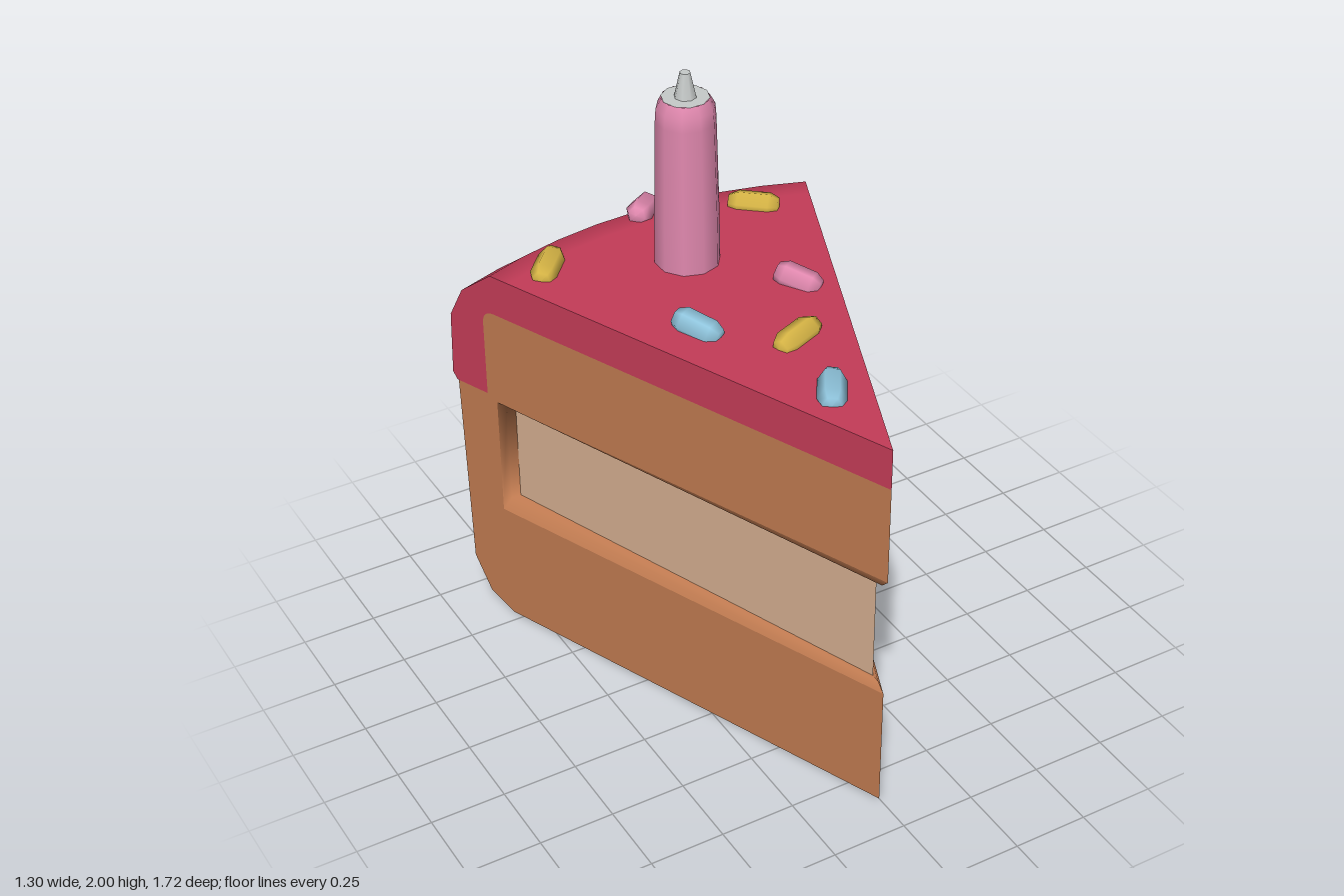
import * as THREE from 'three';

const HALF = 0.388;   // half angle of the slice
const TIP = 0.86;     // z of the slice's point
const TOP = 1.34;     // height of the icing

const mat = (name, color) => {
  const m = new THREE.MeshStandardMaterial({ color, side: THREE.DoubleSide });
  m.name = name;
  return m;
};

// Point at radius r from the tip, turned by angle a
const polar = (r, y, a) => [r * Math.sin(a), y, TIP - r * Math.cos(a)];

// Smooth surface through rows of points
function loft(rows) {
  const n = rows[0].length, index = [];
  for (let i = 0; i < rows.length - 1; i++)
    for (let j = 0; j < n - 1; j++) {
      const a = i * n + j, b = a + 1, c = a + n, d = c + 1;
      index.push(a, c, b, b, c, d);
    }
  const g = new THREE.BufferGeometry();
  g.setAttribute('position', new THREE.Float32BufferAttribute(rows.flat(2), 3));
  g.setIndex(index);
  g.computeVertexNormals();
  return g;
}

// Profile of [radius, y] swept over the slice's angle
const sweep = (segments, profileAt) => {
  const angles = Array.from({ length: segments + 1 }, (_, j) => HALF * (2 * j / segments - 1));
  const profiles = angles.map(profileAt);
  return loft(profiles[0].map((_, i) => angles.map((a, j) => polar(...profiles[j][i], a))));
};

function mirrorX(geo) {
  const g = geo.clone().scale(-1, 1, 1), ix = g.index.array;
  for (let i = 0; i < ix.length; i += 3) [ix[i], ix[i + 1]] = [ix[i + 1], ix[i]];
  return g;
}

// Flat shape (distance from tip, y) stood on the cut side
const onCut = (shape) => new THREE.ShapeGeometry(shape, 6)
  .rotateY(Math.PI / 2 - HALF).translate(0, 0, TIP);

export function createModel() {
  const model = new THREE.Group();
  model.name = 'cakeSlice';
  const sponge = mat('sponge', 0xbf7a50), icing = mat('icing', 0xc43c58);
  const cream = mat('cream', 0xd4ae90), pink = mat('pink', 0xe088ae);
  const grey = mat('wick grey', 0xc6cac9), yellow = mat('yellow', 0xd8b646);
  const blue = mat('blue', 0x8fc4dc);

  const add = (name, geo, material, parent = model) => {
    const m = new THREE.Mesh(geo, material);
    m.name = name;
    parent.add(m);
    return m;
  };
  const addPair = (name, geo, material) => {
    add(name + 'Left', geo, material);
    add(name + 'Right', mirrorX(geo), material);
  };

  // Sponge bottom and outer wall
  const wall = [[1.51, 0], [1.61, 0.05], [1.675, 0.17], [1.695, 0.88]];
  add('spongeBack', sweep(2, () => [[0, 0], [1.4, 0], ...wall, [1.695, 1.1]]), sponge);

  // Sponge cut sides, with a slot open at the tip
  const cut = new THREE.Shape();
  cut.moveTo(0, 0);
  wall.forEach(([r, y]) => cut.lineTo(r, y));
  cut.lineTo(1.57, 0.88);
  cut.lineTo(1.57, 1.15);
  cut.quadraticCurveTo(1.57, 1.2, 1.52, 1.2);
  [[0, 1.2], [0, 0.86], [1.53, 0.86], [1.53, 0.43], [0, 0.43]].forEach(([r, y]) => cut.lineTo(r, y));
  addPair('spongeSide', onCut(cut), sponge);

  // Bevelled slot rim running inwards behind the cream
  const [bx, , bz] = polar(1.53, 0, HALF);
  addPair('slotRim', loft([
    [[0, 0.86, TIP], [bx, 0.86, bz], [bx, 0.43, bz], [0, 0.43, TIP]],
    [[0, 0.83, 0.83], [0.55, 0.837, -0.55], [0.55, 0.47, -0.55], [0, 0.458, 0.83]],
    [[0, 0.825, 0.78], [0.5, 0.835, -0.54], [0.5, 0.478, -0.54], [0, 0.46, 0.78]],
  ]), sponge);

  // Cream filling
  const wedge = new THREE.Shape([[0, -0.8], [0.522, 0.548], [-0.522, 0.548]].map(p => new THREE.Vector2(...p)));
  add('creamFilling', new THREE.ExtrudeGeometry(wedge, { depth: 0.41, bevelEnabled: false })
    .rotateX(-Math.PI / 2).translate(0, 0.44, 0), cream);

  // Icing top and back, dripping lowest in the middle
  const shoulder = [[1.71, 1.13], [1.655, 1.24], [1.53, TOP]];
  add('icingTop', sweep(8, a => {
    const y = 0.88 - 0.16 * Math.cos(a / HALF * Math.PI / 2) ** 1.5;
    return [[1.65, y + 0.02], [1.7, y], [1.718, y + 0.025], ...shoulder, [1.45, TOP], [0, TOP]];
  }), icing);

  // Icing band on the cut sides
  const band = new THREE.Shape();
  band.moveTo(0, 1.2);
  band.lineTo(1.52, 1.2);
  band.quadraticCurveTo(1.57, 1.2, 1.57, 1.15);
  [[1.57, 0.88], [1.7, 0.88], [1.718, 0.905], ...shoulder, [0, TOP]].forEach(([r, y]) => band.lineTo(r, y));
  addPair('icingSide', onCut(band), icing);

  // Candle
  const lathe = (pts, sides) => new THREE.LatheGeometry(pts.map(p => new THREE.Vector2(...p)), sides);
  const candle = new THREE.Group();
  candle.name = 'candle';
  candle.position.set(0.005, 0, -0.333);
  model.add(candle);
  add('candleBody', lathe([[0.106, 1.3], [0.104, 1.5], [0.096, 1.84], [0.093, 1.885], [0.075, 1.918]], 10), pink, candle);
  add('candleTop', new THREE.CircleGeometry(0.076, 10).rotateX(-Math.PI / 2).translate(0, 1.918, 0), grey, candle);
  add('wick', new THREE.CylinderGeometry(0.017, 0.036, 0.085, 8).translate(0, 1.9575, 0), grey, candle);

  // Sprinkles, each between two end points
  const grain = lathe([[0, -0.5], [0.03, -0.48], [0.045, -0.3], [0.045, 0.3], [0.03, 0.48], [0, 0.5]], 6);
  const Y = 1.342;
  [
    [yellow, [-0.455, Y, -0.445], [-0.34, Y, -0.575]],
    [yellow, [0.29, Y, -0.57], [0.42, Y, -0.46]],
    [yellow, [-0.015, Y, 0.26], [0.155, Y, 0.19]],
    [pink, [-0.025, 1.36, -0.615], [0.09, 1.32, -0.73]],
    [pink, [0.19, 1.365, -0.1], [0.28, 1.33, 0.02]],
    [blue, [-0.21, 1.365, -0.03], [-0.13, 1.335, 0.11]],
    [blue, [-0.035, Y, 0.59], [0.055, Y, 0.445]],
  ].forEach(([material, p, q]) => {
    const a = new THREE.Vector3(...p), b = new THREE.Vector3(...q);
    const m = add('sprinkle', grain, material);
    m.position.copy(a).lerp(b, 0.5);
    m.scale.y = a.distanceTo(b);
    m.quaternion.setFromUnitVectors(new THREE.Vector3(0, 1, 0), b.sub(a).normalize());
  });
  return model;
}
